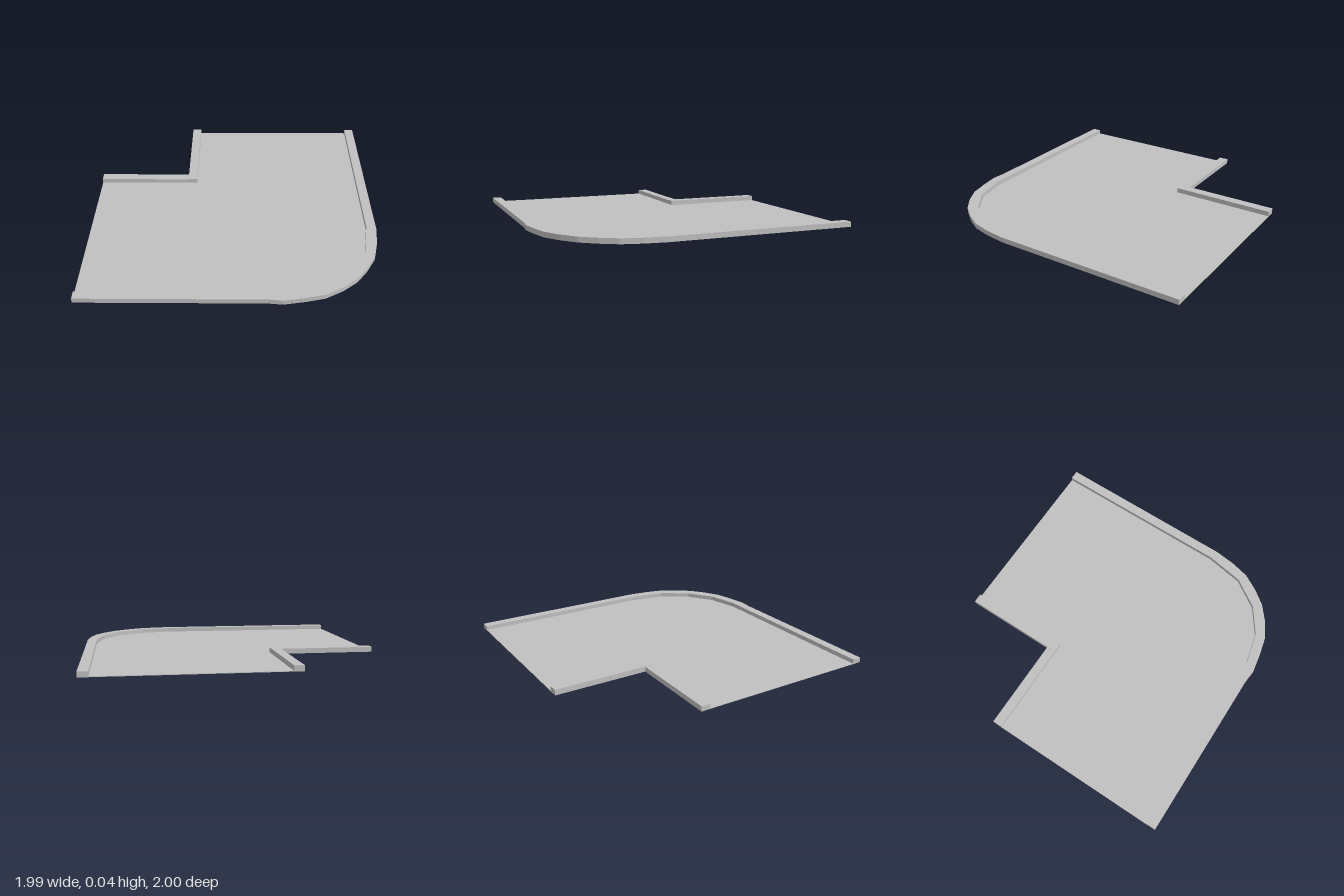
import * as THREE from 'three';

export function createModel() {
  const group = new THREE.Group();
  const grey = new THREE.MeshStandardMaterial({ color: 0xc0c0c0 });
  grey.name = 'light grey';

  // Upright slab standing on y = 0 from a plan outline of [x, z] points
  function slab(name, outline, height) {
    const shape = new THREE.Shape(outline.map(([x, z]) => new THREE.Vector2(x, z)));
    const geometry = new THREE.ExtrudeGeometry(shape, { depth: height, bevelEnabled: false });
    geometry.rotateX(Math.PI / 2).translate(0, height, 0);
    const mesh = new THREE.Mesh(geometry, grey);
    mesh.name = name;
    group.add(mesh);
  }

  // Edges of the rounded outer bend, from back to left
  const outerEdge = [
    [0.993, -1], [0.993, 0.3], [0.975, 0.45], [0.943, 0.58], [0.88, 0.69], [0.8, 0.795],
    [0.7, 0.875], [0.58, 0.942], [0.45, 0.972], [0.31, 0.995], [0.22, 0.986], [-1, 0.986],
  ];
  const innerEdge = [
    [0.927, -1], [0.927, 0.28], [0.88, 0.55], [0.75, 0.745], [0.57, 0.87], [0.35, 0.922], [-1, 0.922],
  ];
  const near = -0.28, far = -0.345;

  // Thin road surface between the kerbs
  slab('roadSurface', [...innerEdge, [-1, near], [near, near], [near, -1]], 0.004);

  // Kerb around the outside of the bend
  slab('outerKerb', [...outerEdge, ...innerEdge.slice().reverse()], 0.035);

  // Two straight kerbs meeting at the inside corner
  slab('innerKerbSide', [[far, -1], [near, -1], [near, near], [far, near]], 0.038);
  slab('innerKerbBack', [[-1, far], [far, far], [far, near], [-1, near]], 0.035);

  return group;
}
